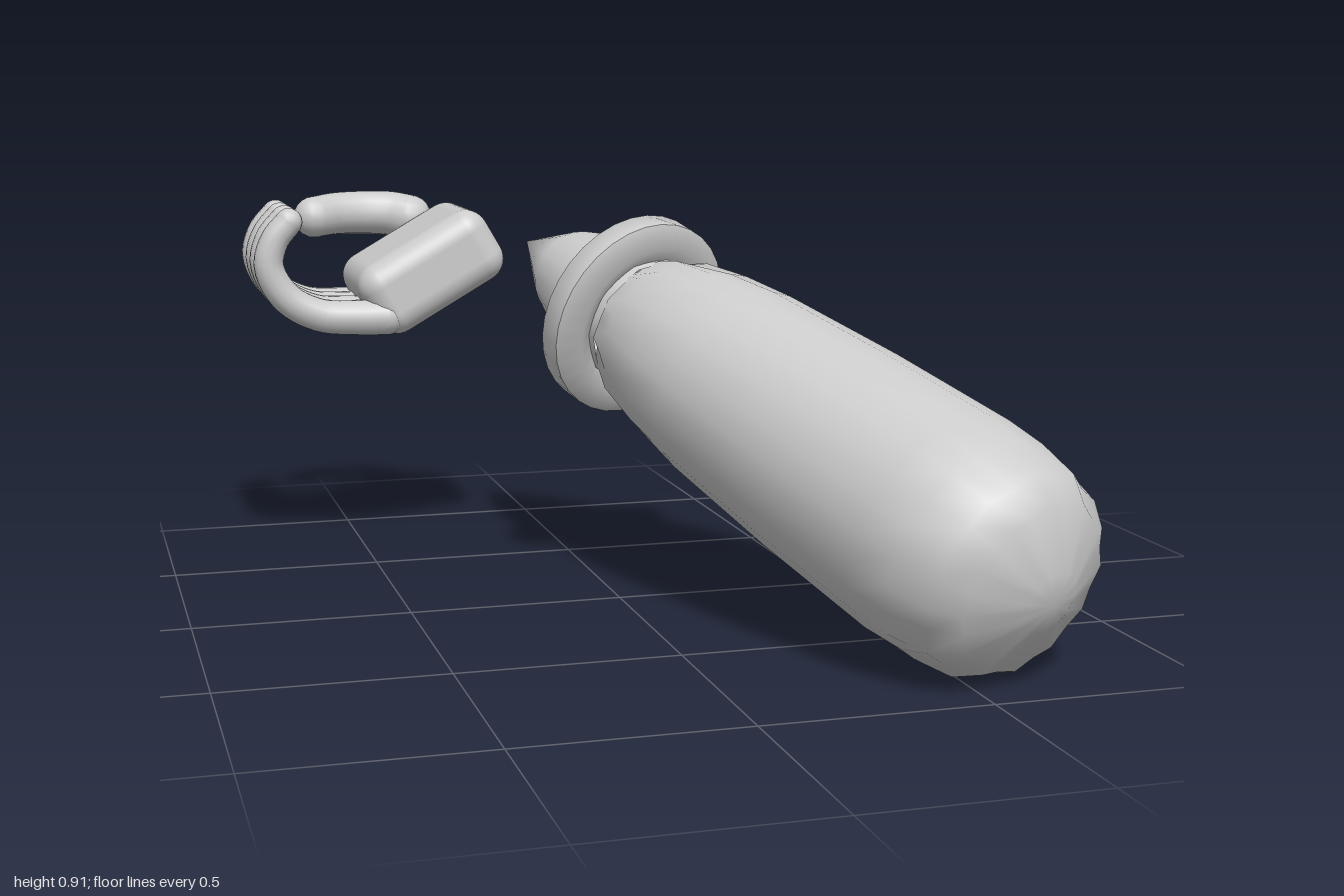
import * as THREE from 'three';
import { mergeVertices } from 'three/addons/utils/BufferGeometryUtils.js';
import { RoundedBoxGeometry } from 'three/addons/geometries/RoundedBoxGeometry.js';

const grey = new THREE.MeshStandardMaterial({ color: 0xcccccc });
const greyDouble = new THREE.MeshStandardMaterial({ color: 0xcccccc, side: THREE.DoubleSide });
const V = (x, y, z) => new THREE.Vector3(x, y, z);
const UP = V(0, 1, 0);

function part(name, geometry, material = grey) {
  const mesh = new THREE.Mesh(geometry, material);
  mesh.name = name;
  return mesh;
}

// Stand a part whose axis is y at a point, facing along a direction
function aim(mesh, origin, dir) {
  mesh.position.copy(origin);
  mesh.quaternion.setFromUnitVectors(UP, dir.clone().normalize());
  return mesh;
}

// Lathe with folds: every second rib is pulled in by the row's pleat amount.
// Rows are [distance along axis, radius, pleat]
function pleatedLathe(rows, sides) {
  const g = new THREE.LatheGeometry(rows.map(([t, r]) => new THREE.Vector2(r, t)), sides);
  const p = g.attributes.position;
  for (let i = 0; i < p.count; i++) {
    const rib = Math.floor(i / rows.length) % sides;
    const fold = rows[i % rows.length][2];
    const k = 1 + (rib % 2 ? -fold : fold);
    p.setX(i, p.getX(i) * k);
    p.setZ(i, p.getZ(i) * k);
  }
  g.deleteAttribute('normal');
  g.deleteAttribute('uv');
  const merged = mergeVertices(g, 1e-5);
  merged.computeVertexNormals();
  return merged;
}

// Tapered round-ended digit along a smooth curve
function digit(name, points, r0, r1) {
  const group = new THREE.Group();
  group.name = name;
  const curve = new THREE.CatmullRomCurve3(points);
  const n = 28, sides = 14;
  const g = new THREE.TubeGeometry(curve, n, 1, sides);
  const p = g.attributes.position, v = V(0, 0, 0);
  for (let i = 0; i <= n; i++) {
    const c = curve.getPointAt(i / n);
    for (let j = 0; j <= sides; j++) {
      const k = i * (sides + 1) + j;
      v.fromBufferAttribute(p, k).sub(c).multiplyScalar(r0 + (r1 - r0) * i / n).add(c);
      p.setXYZ(k, v.x, v.y, v.z);
    }
  }
  group.add(part(name + 'Shaft', g));
  for (const [u, r] of [[0, r0], [1, r1]]) {
    const end = part(name + 'End', new THREE.SphereGeometry(r, 14, 10));
    end.position.copy(curve.getPointAt(u));
    group.add(end);
  }
  return group;
}

export function createModel() {
  const model = new THREE.Group();
  model.name = 'sleeveAndHand';

  // Sleeve
  const axis = V(0.42, -0.365, 1);
  const sleeve = part('sleeve', pleatedLathe([
    [-0.02, 0.15, 0.05], [0.07, 0.193, 0.035], [0.2, 0.222, 0.01], [0.35, 0.24, 0],
    [0.7, 0.258, 0], [1.04, 0.266, 0], [1.14, 0.259, 0.008], [1.24, 0.236, 0.03],
    [1.3, 0.195, 0.03], [1.35, 0.07, 0.01], [1.362, 0, 0],
  ], 24), greyDouble);
  model.add(aim(sleeve, V(0.13, 0.62, -0.2), axis));

  // Cuff ring with a low-sided cross-section
  const cuffCentre = V(0.1, 0.64, -0.235);
  const section = [];
  for (let i = 0; i <= 6; i++) {
    const a = Math.PI / 6 + i * Math.PI / 3;
    section.push(new THREE.Vector2(0.195 + 0.062 * Math.cos(a), 0.058 * Math.sin(a)));
  }
  const cuff = part('cuffRing', new THREE.LatheGeometry(section, 32), greyDouble);
  model.add(aim(cuff, cuffCentre, axis));

  // Pointed wrist
  const wrist = part('wristCone', pleatedLathe([
    [-0.05, 0.16, 0.02], [0.05, 0.165, 0.02], [0.14, 0.147, 0.015],
    [0.26, 0.106, 0.005], [0.437, 0, 0],
  ], 20), greyDouble);
  model.add(aim(wrist, cuffCentre, V(-0.18, 0.15, -0.37)));

  // Hand
  const hand = new THREE.Group();
  hand.name = 'hand';
  const palm = part('palm', new RoundedBoxGeometry(0.37, 0.195, 0.37, 5, 0.06));
  palm.position.set(-0.333, 0.72, -0.715);
  palm.rotation.z = Math.PI / 6;
  hand.add(palm);

  // Four curled fingers
  for (let i = 0; i < 4; i++) {
    const z = -0.857 + i * 0.095;
    const path = [[-0.45, 0.612], [-0.53, 0.613], [-0.62, 0.622], [-0.7, 0.667],
      [-0.742, 0.745], [-0.727, 0.81], [-0.69, 0.856]];
    hand.add(digit('finger' + (i + 1), path.map(([x, y]) => V(x, y, z)), 0.046, 0.034));
  }

  // Thumb
  hand.add(digit('thumb', [V(-0.33, 0.832, -0.91), V(-0.38, 0.842, -0.935),
    V(-0.45, 0.845, -0.942), V(-0.53, 0.845, -0.925), V(-0.585, 0.84, -0.895)], 0.06, 0.054));
  model.add(hand);
  return model;
}
